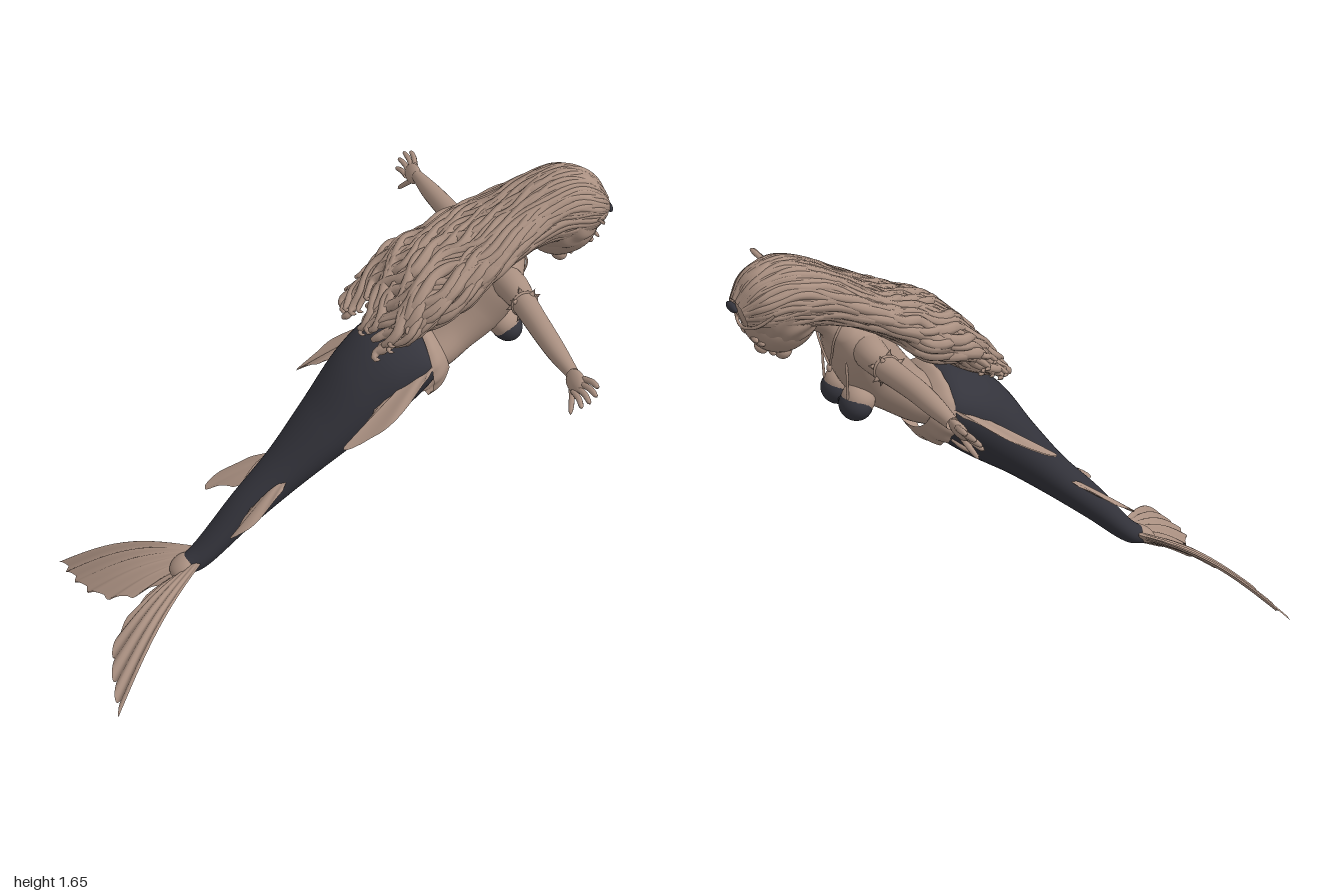
import * as THREE from 'three';
import { ParametricGeometry } from 'three/addons/geometries/ParametricGeometry.js';

const V = (x, y, z = 0) => new THREE.Vector3(x, y, z);
const spline = pts => new THREE.CatmullRomCurve3(pts);
const TAU = Math.PI * 2;

export function createModel() {
  const model = new THREE.Group();
  const skin = new THREE.MeshStandardMaterial({ color: 0xab9182, side: THREE.DoubleSide });
  skin.name = 'warm tan';
  const dark = new THREE.MeshStandardMaterial({ color: 0x34343c });
  dark.name = 'charcoal';

  let seed = 7;
  const rand = () => (seed = (seed * 16807) % 2147483647) / 2147483647;

  const add = (name, geo, mat = skin, parent = model) => {
    const m = new THREE.Mesh(geo, mat);
    m.name = name;
    parent.add(m);
    return m;
  };
  const surface = (fn, nu, nv) => new ParametricGeometry((u, v, t) => t.copy(fn(u, v)), nu, nv);
  const ball = (name, pos, scale, mat, parent) => {
    const m = add(name, new THREE.SphereGeometry(1, 24, 16), mat, parent);
    m.position.set(...pos);
    m.scale.set(...scale);
    return m;
  };

  // Body profile from rows of [back x, back y, belly x, belly y, half width]
  const body = rows => {
    const back = spline(rows.map(r => V(r[0], r[1], r[4])));
    const belly = spline(rows.map(r => V(r[2], r[3])));
    return (theta, v, k = 1) => {
      const a = back.getPoint(v), b = belly.getPoint(v), w = a.z;
      const c = 0.5 + 0.5 * k * Math.cos(theta);
      return V(b.x + (a.x - b.x) * c, b.y + (a.y - b.y) * c, w * k * Math.sin(theta));
    };
  };

  // Round limb or lock along a path, with a radius for each position
  const sweep = (pts, radius, nu = 8, nv = 24, ref = V(0, 0, 1)) => {
    const curve = spline(pts);
    return surface((u, v) => {
      const d = curve.getTangent(v), a = ref.clone().cross(d).normalize(), b = d.clone().cross(a);
      const r = radius(v);
      return curve.getPoint(v).addScaledVector(a, r * Math.cos(u * TAU)).addScaledVector(b, r * Math.sin(u * TAU));
    }, nu, nv);
  };

  // Rippled fin with a top and an underside, from a root line to an outer edge
  const fin = (root, edge, rays, bow, ripple, thick) => {
    const a = spline(root), b = spline(edge);
    return surface((u, v) => {
      const w = 1 - Math.abs(2 * u - 1), face = u < 0.5 ? 1 : -1;
      const scallop = 1 - 0.05 * v * (1 - Math.abs(Math.cos(w * rays * Math.PI)));
      const p = a.getPoint(w).lerp(b.getPoint(w), v * scallop);
      p.y += bow * (1 - w) * Math.sin(v * Math.PI) + ripple * v * (1 - v * 0.5) * Math.sin(w * rays * TAU)
        + face * thick * (1 - 0.85 * v) * Math.sin(w * Math.PI);
      return p;
    }, rays * 16, 14);
  };

  // Tail
  const tail = body([
    [-0.63, 0.27, -0.61, 0.21, 0.04], [-0.57, 0.32, -0.55, 0.23, 0.055], [-0.42, 0.50, -0.37, 0.38, 0.076],
    [-0.27, 0.66, -0.2, 0.52, 0.105], [-0.13, 0.84, -0.02, 0.66, 0.15], [0.0, 1.02, 0.14, 0.77, 0.185],
    [0.11, 1.11, 0.25, 0.86, 0.205], [0.22, 1.14, 0.31, 0.93, 0.195], [0.29, 1.12, 0.34, 0.97, 0.15]]);
  add('tail', surface((u, v) => tail(u * TAU, v), 40, 60), dark);
  add('waistTassel', sweep([0.64, 0.69, 0.73, 0.78].map(v => tail(Math.PI + 0.65, v)),
    v => 0.005 + 0.006 * Math.sin(v * Math.PI), 8, 16));

  // Torso and neck
  const torso = body([
    [0.2, 1.08, 0.27, 0.93, 0.15], [0.29, 1.12, 0.37, 0.96, 0.152], [0.35, 1.18, 0.47, 1.02, 0.14],
    [0.41, 1.26, 0.57, 1.09, 0.15], [0.46, 1.33, 0.63, 1.18, 0.17], [0.51, 1.385, 0.655, 1.26, 0.175],
    [0.57, 1.41, 0.67, 1.32, 0.12], [0.61, 1.44, 0.69, 1.35, 0.066], [0.7, 1.5, 0.77, 1.39, 0.06]]);
  add('torso', surface((u, v) => torso(u * TAU, v), 36, 48));

  // Softly ruffled waistband
  add('waistFrill', surface((u, v) => {
    const t = u * TAU, c = 0.5 + 0.5 * Math.cos(t), wave = Math.sin(u * TAU * 16);
    const puff = 0.014 * Math.sin(v * Math.PI) + 0.002 * v * wave;
    const back = V(0.31 - 0.05 * v, 1.13 + 0.015 * v), belly = V(0.375 - 0.09 * v, 0.945 - 0.085 * v - 0.004 * wave * v);
    const p = belly.lerp(back, c);
    p.z = Math.sin(t) * (0.155 + 0.048 * v + puff);
    return p.add(V(-0.4 * puff, 0.9 * puff).multiplyScalar(Math.cos(t)));
  }, 128, 10));

  // Root of the tail fin
  const root = ball('tailFinRoot', [-0.625, 0.245, 0], [0.055, 0.03, 0.055]);
  root.rotation.z = 0.6;

  for (const s of [1, -1]) {
    const side = s > 0 ? 'left' : 'right';
    const M = (x, y, z) => V(x, y, z * s);

    // Fins
    add(side + 'TailFin', fin(
      [M(-0.57, 0.28, 0.06), M(-0.6, 0.25, 0.03), M(-0.62, 0.205, 0)],
      [M(-1, 0.005, 0.48), M(-0.99, 0.02, 0.39), M(-0.975, 0.04, 0.29), M(-0.945, 0.065, 0.18),
        M(-0.88, 0.09, 0.085), M(-0.79, 0.135, 0.022), M(-0.67, 0.195, 0.003)], 6, 0.055, 0.019, 0.016));
    add(side + 'HipFin', fin(
      [M(0.31, 1.06, 0.17), M(0.21, 1.01, 0.18), M(0.06, 0.91, 0.18)],
      [M(0.25, 1.02, 0.215), M(0.15, 0.965, 0.28), M(0.03, 0.885, 0.315), M(-0.09, 0.825, 0.275),
        M(-0.03, 0.855, 0.25), M(0.02, 0.88, 0.215), M(0.055, 0.9, 0.185)], 4, 0.005, 0.008, 0.014));
    add(side + 'LowerFin', fin(
      [M(-0.24, 0.605, 0.09), M(-0.3, 0.57, 0.09), M(-0.37, 0.505, 0.075)],
      [M(-0.27, 0.585, 0.125), M(-0.34, 0.545, 0.165), M(-0.42, 0.495, 0.19), M(-0.495, 0.445, 0.17),
        M(-0.445, 0.47, 0.14), M(-0.41, 0.485, 0.1), M(-0.38, 0.5, 0.075)], 3, 0.003, 0.007, 0.011));

    // Arm: rows of [z, x, y, radius]
    const rows = [[0.08, 0.56, 1.31, 0.06], [0.18, 0.572, 1.31, 0.056], [0.27, 0.572, 1.305, 0.047],
      [0.38, 0.565, 1.305, 0.042], [0.5, 0.558, 1.305, 0.039], [0.62, 0.555, 1.3, 0.034], [0.75, 0.555, 1.295, 0.022]];
    const radii = spline(rows.map(r => V(r[3], r[0])));
    add(side + 'Arm', sweep(rows.map(r => M(r[1], r[2], r[0])), v => radii.getPoint(v).x, 20, 36, V(1, 0, 0)));

    // Hand
    const palm = ball(side + 'Palm', [0.55, 1.288, 0.785 * s], [0.02, 0.036, 0.058]);
    palm.rotation.z = -0.5;
    const tips = [[0.58, 1.325, 0.9], [0.562, 1.312, 0.93], [0.54, 1.288, 0.928], [0.522, 1.26, 0.905], [0.51, 1.2, 0.845]];
    tips.forEach(([x, y, z], i) => {
      const thumb = i === 4;
      const base = thumb ? M(0.545, 1.275, 0.76) : M(0.568 - 0.012 * i, 1.31 - 0.014 * i, 0.81);
      const tip = M(x, y, z), mid = base.clone().lerp(tip, 0.5).add(V(0.004, 0.004, 0));
      add(side + (thumb ? 'Thumb' : 'Finger'), sweep([base, mid, tip],
        v => 0.0105 * Math.sqrt(Math.max(0, 1 - v ** 6)), 8, 10, V(1, 0, 0)));
    });

    // Armband with small fins
    add(side + 'Armband', new THREE.TorusGeometry(0.045, 0.006, 8, 24)).position.set(0.571, 1.305, 0.29 * s);
    for (let i = 0; i < 8; i++) {
      const a = i * TAU / 8 + 0.3;
      const c = add(side + 'ArmbandFin', new THREE.ConeGeometry(0.01, 0.026, 6));
      c.position.set(0.571 + 0.056 * Math.cos(a), 1.305 + 0.056 * Math.sin(a), (0.29 + 0.012 * (i % 2 ? 1 : -1)) * s);
      c.rotation.z = a - Math.PI / 2;
    }

    // Bust, cup and strap
    ball(side + 'Bust', [0.585, 1.112, 0.076 * s], [0.058, 0.058, 0.068]);
    const cup = add(side + 'Cup', new THREE.SphereGeometry(1, 24, 18, 0, TAU, 0, Math.PI * 0.66), dark);
    cup.position.set(0.596, 1.094, 0.078 * s);
    cup.scale.set(0.055, 0.058, 0.072);
    cup.rotation.z = -Math.PI / 2 - 0.6;
    add(side + 'Strap', sweep([M(0.635, 1.13, 0.1), M(0.636, 1.21, 0.105), M(0.635, 1.29, 0.1), M(0.61, 1.38, 0.085),
      M(0.57, 1.42, 0.04)], () => 0.005, 6, 20));
    add(side + 'Necklace', sweep([M(0.6, 1.44, 0.06), M(0.665, 1.35, 0.075), M(0.665, 1.28, 0.045), M(0.655, 1.22, 0)],
      () => 0.0045, 6, 20));
  }
  ball('pendant', [0.657, 1.212, 0], [0.01, 0.016, 0.01]);
  ball('cupClasp', [0.615, 1.08, 0], [0.012, 0.014, 0.016], dark);

  // Head, tilted so the face looks down and forward
  const head = new THREE.Group();
  head.name = 'head';
  head.position.set(0.835, 1.455, 0);
  head.rotation.z = -0.82;
  model.add(head);
  const face = new THREE.SphereGeometry(1, 36, 28);
  const fp = face.attributes.position;
  for (let i = 0; i < fp.count; i++) {
    const y = fp.getY(i), jaw = y < 0 ? 1 + 0.3 * y : 1;
    fp.setXYZ(i, fp.getX(i) * 0.134, y * 0.14 - 0.01, fp.getZ(i) * 0.118 * jaw);
  }
  face.computeVertexNormals();
  add('face', face, skin, head);
  ball('nose', [0.132, -0.03, 0], [0.018, 0.028, 0.014], skin, head);
  ball('lips', [0.119, -0.075, 0], [0.014, 0.01, 0.027], skin, head);
  ball('chin', [0.095, -0.105, 0], [0.032, 0.028, 0.036], skin, head);
  for (const s of [1, -1]) {
    ball('eyelid', [0.114, 0.008, 0.045 * s], [0.013, 0.013, 0.024], skin, head);
    ball('brow', [0.117, 0.036, 0.045 * s], [0.01, 0.007, 0.032], skin, head);
  }

  // Hair over the skull, and a circlet at the brow
  const onCap = (dir, k = 1) => V(-0.03 + 0.14 * k * dir.x, 0.025 + 0.155 * k * dir.y, 0.144 * k * dir.z);
  add('hairCap', surface((u, v) => {
    const a = Math.PI * (1 - v), f = u * TAU;
    const d = V(Math.cos(a), Math.sin(a) * Math.cos(f), Math.sin(a) * Math.sin(f));
    return onCap(d, 1 + 0.02 * Math.sin(a) * Math.cos(f * 12 + 2 * Math.sin(a * 4)));
  }, 112, 36), skin, head);
  add('circlet', sweep([-1.3, -0.7, 0, 0.7, 1.3].map(a => onCap(V(Math.cos(a), 0.38, Math.sin(a)).normalize(), 1.07)),
    () => 0.006, 6, 32, V(0, 1, 0)), skin, head);
  ball('hairJewel', [0.987, 1.49, 0.032], [0.014, 0.016, 0.042], dark);

  // Flowing hair: a full core and wavy locks combed from the brow over the head
  const hair = body([
    [0.05, 1.17, 0.06, 1.12, 0.19], [0.14, 1.27, 0.16, 1.15, 0.215], [0.23, 1.36, 0.25, 1.19, 0.225],
    [0.36, 1.43, 0.37, 1.23, 0.225], [0.48, 1.48, 0.47, 1.32, 0.215], [0.6, 1.54, 0.58, 1.38, 0.185],
    [0.72, 1.61, 0.71, 1.4, 0.15], [0.83, 1.64, 0.81, 1.4, 0.147], [0.93, 1.6, 0.89, 1.41, 0.125],
    [0.985, 1.52, 0.96, 1.44, 0.06]]);
  add('hairCore', surface((u, v) => {
    const k = Math.sqrt(Math.min(1, v / 0.2)) * (0.89 + 0.04 * Math.sin(u * TAU * 12 + v * 14));
    return hair(u * TAU, 0.08 + 0.72 * v, k);
  }, 96, 30));
  for (let i = 0; i < 64; i++) {
    const theta = (i / 63 * 2 - 1) * 2.3, end = rand() * 0.16, phase = rand() * TAU, freq = 20 + rand() * 10;
    const depth = 0.91 + 0.12 * rand(), size = 0.013 + 0.01 * rand(), pts = [];
    for (let j = 0; j <= 26; j++) {
      const t = j / 26, loose = Math.max(0, t - 0.25) / 0.75, v = 0.995 - (0.995 - end) * t;
      const swing = theta + (0.04 + 0.17 * loose) * Math.sin(freq * t + phase);
      pts.push(hair(swing, v, 0.97 + (depth - 0.97) * loose + 0.09 * loose * Math.cos(freq * t + phase)));
    }
    // Curled tip
    const e = pts[pts.length - 1], s = rand() < 0.5 ? 1 : -1;
    pts.push(V(e.x - 0.012, e.y - 0.015, e.z + 0.014 * s), V(e.x + 0.008, e.y - 0.02, e.z + 0.022 * s));
    add('hairLock', sweep(pts, v => size * Math.sqrt(Math.max(0, Math.min(1, (1 - v) * 5))) * (0.6 + 0.6 * v), 7, 72));
  }
  return model;
}
